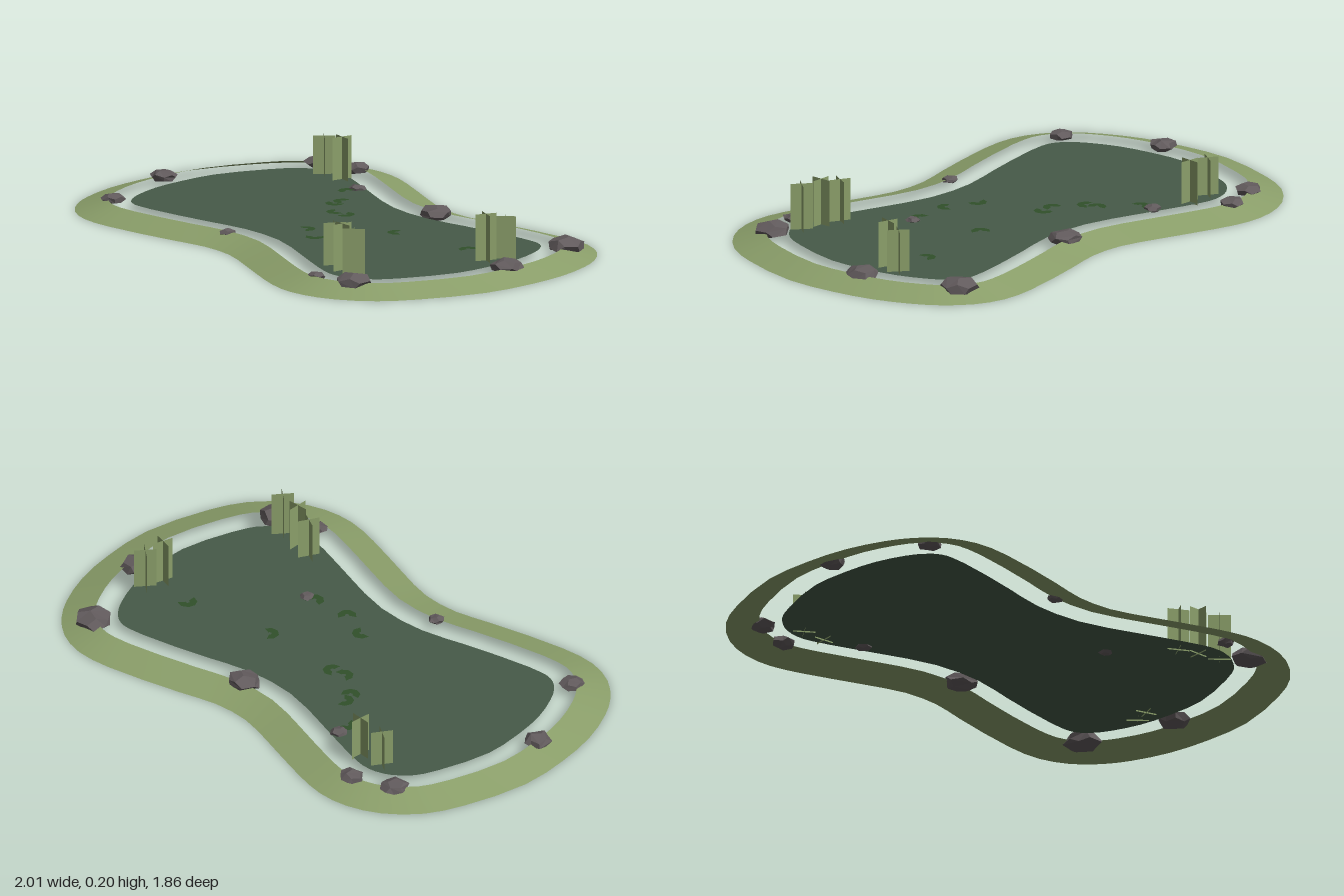
import * as THREE from 'three';

const mat = (name, color, extra = {}) => {
  const m = new THREE.MeshStandardMaterial({ color, ...extra });
  m.name = name;
  return m;
};

// Half of the shoreline (x, z); the other half is the same turned by 180 degrees
const HALF = [
  [-0.33, -0.93], [-0.48, -0.905], [-0.61, -0.83], [-0.8, -0.66], [-0.905, -0.49], [-0.97, -0.335],
  [-1, -0.185], [-1, -0.08], [-0.97, 0.03], [-0.9, 0.125], [-0.78, 0.2], [-0.505, 0.31],
  [-0.365, 0.36], [-0.245, 0.44], [-0.14, 0.565], [0, 0.745], [0.095, 0.845], [0.2, 0.905],
];
const WATER_Y = 0.03;

function shoreline() {
  const all = [...HALF, ...HALF.map(([x, z]) => [-x, -z])];
  const curve = new THREE.CatmullRomCurve3(all.map(([x, z]) => new THREE.Vector3(x, 0, z)), true);
  const n = 72;
  // Returns the outline moved inward by d, at height y
  return (d, y) => Array.from({ length: n }, (_, i) => {
    const p = curve.getPoint(i / n), t = curve.getTangent(i / n);
    return new THREE.Vector3(p.x + t.z * d, y, p.z - t.x * d);
  });
}

// Sloping ring between two loops
function ringGeometry(outer, inner) {
  const n = outer.length, index = [];
  for (let i = 0; i < n; i++) {
    const j = (i + 1) % n;
    index.push(i, j, n + i, j, n + j, n + i);
  }
  const g = new THREE.BufferGeometry().setFromPoints([...outer, ...inner]);
  g.setIndex(index);
  g.computeVertexNormals();
  return g;
}

// Squashed, slightly uneven boulder
function rockGeometry(r, h, seed) {
  const g = new THREE.DodecahedronGeometry(1, 0);
  g.rotateX(seed * 1.3).rotateZ(seed * 0.7);
  const p = g.attributes.position, v = new THREE.Vector3();
  for (let i = 0; i < p.count; i++) {
    v.fromBufferAttribute(p, i);
    v.multiplyScalar(1 + 0.12 * Math.sin(v.x * 5 + seed * 3) * Math.cos(v.z * 4 + seed));
    p.setXYZ(i, v.x * r, v.y * h, v.z * r);
  }
  g.computeVertexNormals();
  return g;
}

export function createModel() {
  const model = new THREE.Group();
  const double = { side: THREE.DoubleSide };
  const grass = mat('grass green', 0x8b9f6a, double);
  const water = mat('pond water', 0x465a48, double);
  const leaf = mat('lily green', 0x31502a, double);
  const stone = mat('stone grey', 0x625b5d, { flatShading: true });

  const add = (name, geometry, material, parent = model) => {
    const mesh = new THREE.Mesh(geometry, material);
    mesh.name = name;
    parent.add(mesh);
    return mesh;
  };
  const group = (name) => {
    const g = new THREE.Group();
    g.name = name;
    model.add(g);
    return g;
  };

  // Bank and water
  const loop = shoreline();
  add('bank', ringGeometry(loop(0, 0), loop(0.12, 0.036)), grass);
  const shape = new THREE.Shape(loop(0.2, 0).map((p) => new THREE.Vector2(p.x, -p.z)));
  add('water', new THREE.ShapeGeometry(shape).rotateX(-Math.PI / 2), water).position.y = WATER_Y;

  // Rocks: x, z, radius
  const rocks = group('rocks');
  [
    [-0.355, -0.805, 0.05], [-0.195, -0.77, 0.046], [-0.8, -0.43, 0.05], [-0.86, -0.06, 0.044],
    [0.285, -0.245, 0.062], [0.88, 0.04, 0.07], [0.785, 0.4, 0.06], [0.35, 0.79, 0.068],
    [0.195, 0.745, 0.032], [-0.315, 0.255, 0.03], [-0.1, -0.5, 0.032], [0.16, 0.315, 0.027],
  ].forEach(([x, z, r], i) => {
    const h = r * 0.45;
    add('rock', rockGeometry(r, h, i + 1), stone, rocks).position.set(x, r > 0.04 ? 0.036 : 0.032, z);
  });

  // Reeds: crossed upright cards; x, z, top height, turn
  const reeds = group('reeds');
  [
    [-0.285, -0.67, 0.17, 0.4], [-0.2, -0.62, 0.185, 0.9], [0.2, 0.57, 0.185, 0.5],
    [0.25, 0.63, 0.2, 1.0], [0.315, 0.69, 0.2, 0.3], [0.68, 0.325, 0.2, 0.7], [0.735, 0.28, 0.185, 0.3],
  ].forEach(([x, z, top, turn]) => {
    const tuft = new THREE.Group();
    tuft.name = 'reedTuft';
    tuft.position.set(x, (top + 0.025) / 2, z);
    for (let k = 0; k < 2; k++) {
      add('reedCard', new THREE.PlaneGeometry(0.08, top - 0.025), grass, tuft).rotation.y = turn + k * Math.PI / 2;
    }
    reeds.add(tuft);
  });

  // Floating leaves: x, z, turn
  const pads = group('lilyPads');
  [
    [-0.12, -0.455, 0.5], [-0.085, -0.305, 1], [-0.1, -0.265, 2.6], [-0.055, -0.15, 2], [-0.01, -0.125, 4],
    [-0.07, 0.12, 5], [0, 0.22, 3], [0.25, 0.06, 1.5], [0.57, 0.205, 0.3], [0.13, 0.295, 2.2],
  ].forEach(([x, z, turn]) => {
    const pad = add('lilyPad', new THREE.RingGeometry(0.008, 0.035, 5, 1, 0, 3.9).rotateX(-Math.PI / 2), leaf, pads);
    pad.position.set(x, WATER_Y + 0.004, z);
    pad.rotation.y = turn;
  });

  return model;
}
